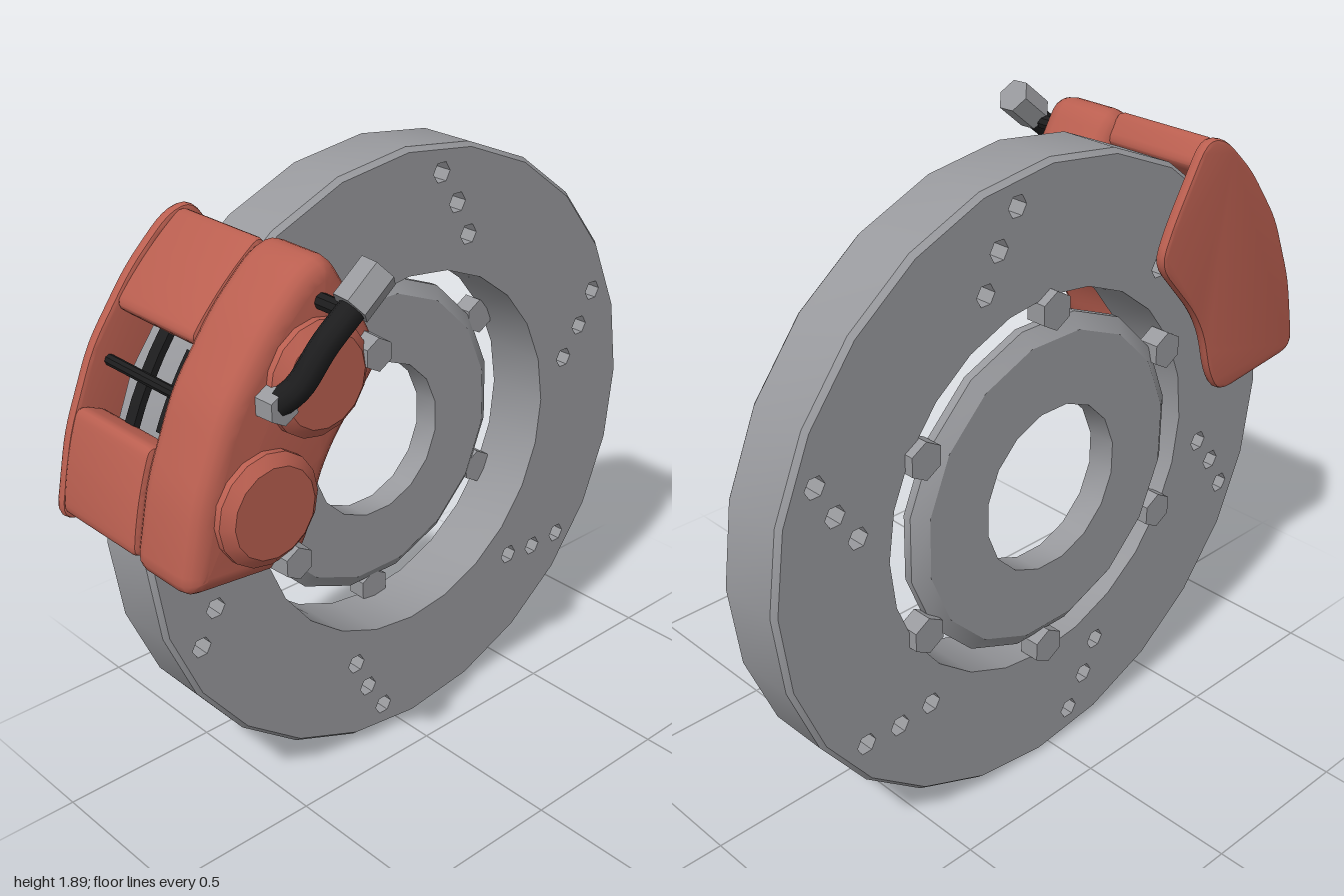
import * as THREE from 'three';
import { toCreasedNormals } from 'three/addons/utils/BufferGeometryUtils.js';

const CX = 0.053, CY = 0.943; // wheel axis
const steel = new THREE.MeshStandardMaterial({ name: 'steel', color: 0x98999d });
const red = new THREE.MeshStandardMaterial({ name: 'caliperRed', color: 0xba5f50 });
const black = new THREE.MeshStandardMaterial({ name: 'black', color: 0x1d1d1e });

const V = (x, y) => new THREE.Vector2(x, y);
const polar = (r, deg) => {
  const a = THREE.MathUtils.degToRad(deg);
  return V(CX + r * Math.cos(a), CY + r * Math.sin(a));
};

function add(parent, name, geometry, material) {
  const mesh = new THREE.Mesh(geometry, material);
  mesh.name = name;
  parent.add(mesh);
  return mesh;
}

// regular polygon points
function ngon(x, y, r, n, start = 0) {
  return Array.from({ length: n }, (_, i) => {
    const a = start + (i / n) * Math.PI * 2;
    return V(x + r * Math.cos(a), y + r * Math.sin(a));
  });
}

// closed outline with softened corners
function softShape(points, radius) {
  const shape = new THREE.Shape();
  points.forEach((p, i) => {
    const prev = points[(i + points.length - 1) % points.length];
    const next = points[(i + 1) % points.length];
    const toward = (q) => p.clone().lerp(q, Math.min(0.45, radius / p.distanceTo(q)));
    const a = toward(prev), b = toward(next);
    if (i === 0) shape.moveTo(a.x, a.y); else shape.lineTo(a.x, a.y);
    shape.quadraticCurveTo(p.x, p.y, b.x, b.y);
  });
  shape.closePath();
  return shape;
}

// plate between two z values with a rounded rim inside the outline
function slab(shape, z0, z1, bevel = 0, segments = 4) {
  const g = new THREE.ExtrudeGeometry(shape, {
    depth: z1 - z0 - 2 * bevel, bevelEnabled: bevel > 0, bevelThickness: bevel,
    bevelSize: bevel, bevelOffset: -bevel, bevelSegments: segments, curveSegments: 4,
  });
  g.translate(0, 0, z0 + bevel);
  return toCreasedNormals(g, 0.6);
}

// annular sector around the wheel axis
function sector(r0, r1, a0, a1, steps = 6) {
  const pts = [];
  for (let i = 0; i <= steps; i++) pts.push(polar(r1, a0 + ((a1 - a0) * i) / steps));
  for (let i = steps; i >= 0; i--) pts.push(polar(r0, a0 + ((a1 - a0) * i) / steps));
  return pts;
}

// turned part around the wheel axis; profile is [radius, z]
function turned(profile, sides, start = 0) {
  const g = new THREE.LatheGeometry(profile.map(([r, z]) => V(r, z)), sides, start);
  g.rotateX(Math.PI / 2);
  g.translate(CX, CY, 0);
  return toCreasedNormals(g, 0.5);
}

// cylinder or prism along z
function rod(x, y, z0, z1, r0, r1, sides) {
  const g = new THREE.CylinderGeometry(r1, r0, z1 - z0, sides);
  g.rotateX(Math.PI / 2);
  g.translate(x, y, (z0 + z1) / 2);
  return toCreasedNormals(g, 0.6);
}

function buildRotor() {
  const rotor = new THREE.Group();
  rotor.name = 'rotor';

  // drilled friction disc
  const disc = new THREE.Shape(ngon(CX, CY, 0.93, 24));
  disc.holes.push(new THREE.Path(ngon(CX, CY, 0.572, 24)));
  for (let k = 0; k < 6; k++) {
    [[0.857, 81.6], [0.77, 75.9], [0.682, 70]].forEach(([r, a]) => {
      const p = polar(r, a + k * 60);
      disc.holes.push(new THREE.Path(ngon(p.x, p.y, 0.032, 6)));
    });
  }
  add(rotor, 'frictionDisc', slab(disc, -0.335, -0.125), steel);
  add(rotor, 'discRim', turned([[0.93, -0.335], [0.943, -0.32], [0.943, -0.14], [0.93, -0.125]], 24), steel);

  // central hub ring
  add(rotor, 'hubRing', turned([
    [0.25, -0.36], [0.462, -0.36], [0.505, -0.33], [0.505, -0.305],
    [0.462, -0.275], [0.25, -0.275], [0.25, -0.36],
  ], 16, Math.PI / 16), steel);

  // hex bolts joining ring and disc
  for (let k = 0; k < 6; k++) {
    const p = polar(0.535, 30 + k * 60);
    const shape = new THREE.Shape(ngon(p.x, p.y, 0.056, 6, (k * Math.PI) / 3 + Math.PI / 6));
    add(rotor, 'rotorBolt', slab(shape, -0.362, -0.3), steel);
  }
  return rotor;
}

function buildCaliper() {
  const caliper = new THREE.Group();
  caliper.name = 'caliper';

  const outline = [
    V(-1.005, 1.035), V(-0.645, 0.998), V(-0.59, 1.08), V(-0.555, 1.21), V(-0.5, 1.305),
    V(-0.335, 1.49), V(-0.375, 1.59), V(-0.505, 1.815), V(-0.59, 1.8), V(-0.72, 1.68),
    V(-0.855, 1.5), V(-0.95, 1.28),
  ];
  add(caliper, 'caliperBody', slab(softShape(outline, 0.06), -0.035, 0.212, 0.055), red);
  add(caliper, 'rearPlate', slab(softShape(outline, 0.06), -0.382, -0.347, 0.012, 2), red);

  // bridges over the disc edge
  [[124.5, 142], [157, 173.5]].forEach(([a0, a1]) => {
    add(caliper, 'bridge', slab(softShape(sector(0.955, 1.057, a0, a1, 4), 0.03), -0.352, -0.02, 0.015, 2), red);
  });

  // pad with backing plate
  add(caliper, 'padBacking', slab(new THREE.Shape(sector(0.645, 0.95, 128, 171.5)), -0.06, -0.03), steel);
  add(caliper, 'brakePad', slab(new THREE.Shape(sector(0.66, 0.94, 129, 170.5)), -0.126, -0.06), black);

  // retaining pin and spring strips in the window
  const pin = polar(1.0, 149.5);
  add(caliper, 'retainingPin', rod(pin.x, pin.y, -0.35, -0.02, 0.016, 0.016, 8), black);
  add(caliper, 'springClip', slab(new THREE.Shape(sector(0.965, 0.985, 138, 161)), -0.23, -0.19), black);
  add(caliper, 'padTab', slab(new THREE.Shape(sector(0.93, 0.985, 143, 156)), -0.1, -0.06), black);

  // piston housings
  [[-0.578, 1.515], [-0.753, 1.215]].forEach(([x, y]) => {
    add(caliper, 'pistonHousing', rod(x, y, 0.15, 0.232, 0.155, 0.155, 16), red);
    add(caliper, 'pistonCap', rod(x, y, 0.232, 0.257, 0.155, 0.125, 16), red);
  });

  // hex bolts and hose fitting
  [[-0.41, 1.537, 0.262], [-0.69, 1.048, 0.262], [-0.722, 1.495, 0.272]].forEach(([x, y, z]) => {
    add(caliper, 'caliperBolt', rod(x, y, 0.13, z, 0.052, 0.046, 6), steel);
  });
  add(caliper, 'bleedScrew', rod(-0.55, 1.705, 0.17, 0.285, 0.022, 0.022, 8), black);
  return caliper;
}

function buildHose() {
  const hose = new THREE.Group();
  hose.name = 'brakeHose';
  const path = new THREE.CatmullRomCurve3([
    new THREE.Vector3(-0.722, 1.495, 0.24), new THREE.Vector3(-0.69, 1.545, 0.285),
    new THREE.Vector3(-0.63, 1.645, 0.315), new THREE.Vector3(-0.54, 1.725, 0.325),
  ]);
  add(hose, 'hose', new THREE.TubeGeometry(path, 14, 0.036, 10), black);

  // hex end fitting, aligned with the hose end
  const dir = new THREE.Vector3(0.77, 0.64, 0.04).normalize();
  const nut = add(hose, 'hoseFitting', toCreasedNormals(new THREE.CylinderGeometry(0.054, 0.054, 0.115, 6), 0.5), steel);
  nut.quaternion.setFromUnitVectors(new THREE.Vector3(0, 1, 0), dir);
  nut.position.set(-0.51, 1.757, 0.325);
  return hose;
}

export function createModel() {
  const model = new THREE.Group();
  model.name = 'discBrake';
  model.add(buildRotor(), buildCaliper(), buildHose());
  return model;
}
